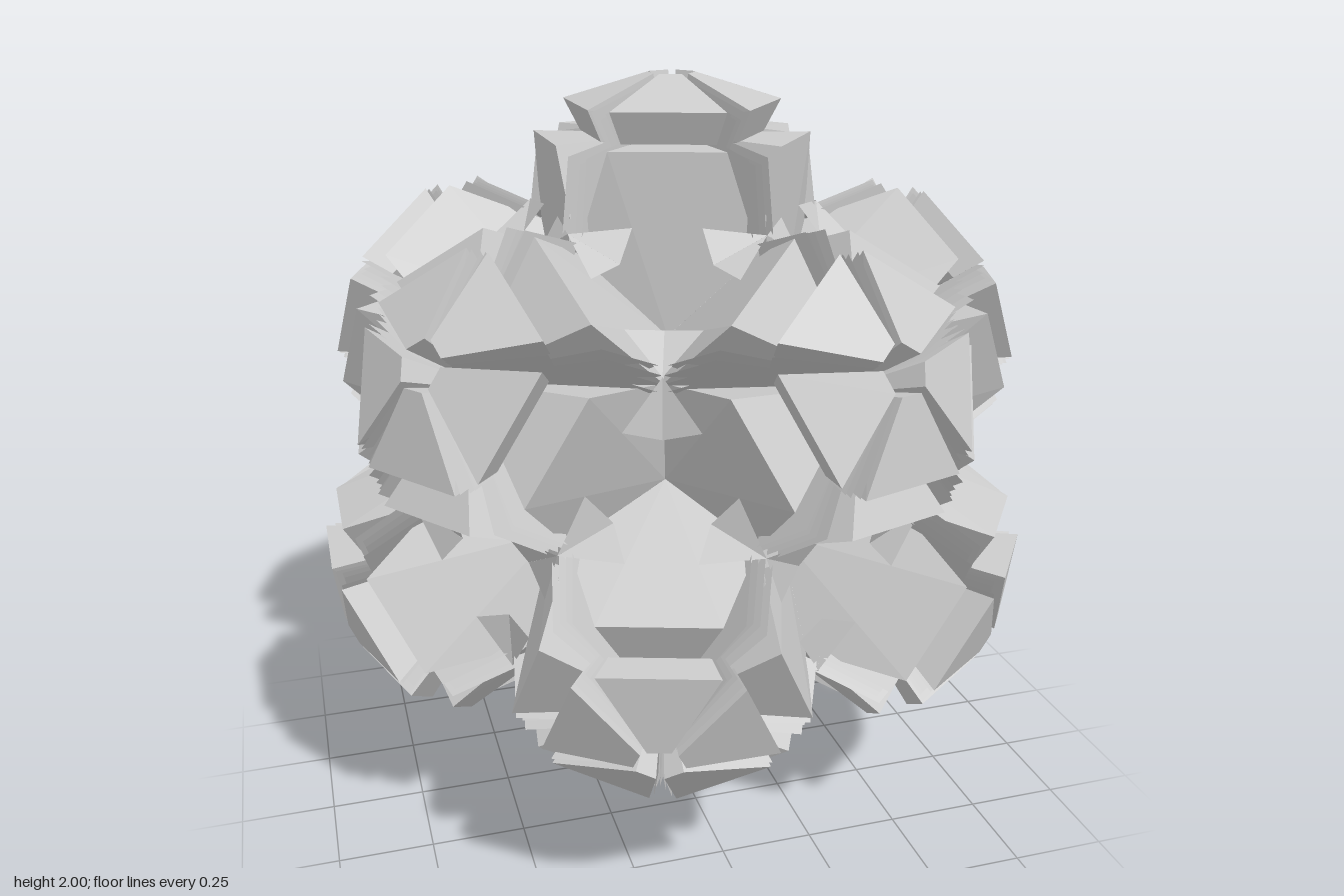
import * as THREE from 'three';
import { ConvexGeometry } from 'three/addons/geometries/ConvexGeometry.js';

const RAD = Math.PI / 180;
const v = (x, y, z) => new THREE.Vector3(x, y, z);

// Local frame of a wedge: x runs out from the star's axis, y along the axis, z sideways.

// Paper facets from corner triples, turned to face away from the ball's centre
function facets(triangles) {
  const points = [];
  for (const [a, b, c] of triangles) {
    const normal = b.clone().sub(a).cross(c.clone().sub(a));
    const middle = a.clone().add(b).add(c);
    points.push(...(normal.dot(middle) < 0 ? [a, c, b] : [a, b, c]));
  }
  const geometry = new THREE.BufferGeometry().setFromPoints(points);
  geometry.computeVertexNormals();
  return geometry;
}

// Raised petal: crest near the axis, sloping top, undercut outer edge
function petalGeometry() {
  const points = [];
  for (const s of [-1, 1]) {
    points.push(
      v(0.028, 0.88, s * 0.016),
      v(0.055, 1.0, s * 0.028),
      v(0.25, 0.93, s * 0.14),
      v(0.2125, 0.85, s * 0.116),
      v(0.03, 0.82, s * 0.01)
    );
  }
  return new ConvexGeometry(points);
}

// Point on the two-fold axis beside a wedge, and on the three-fold axis ahead of it
const edgePoint = (radius, s) =>
  v(0.5257 * radius * Math.cos(36 * RAD), 0.8507 * radius, s * 0.5257 * radius * Math.sin(36 * RAD));
const hollowPoint = (radius) => v(0.607 * radius, 0.795 * radius, 0);
const stepCorner = (s) => v(0.33, 0.85, s * 0.14);

// Lower step under the petal, falling away to the valleys and the hollow
function stepGeometry() {
  const centre = v(0, 0.85, 0);
  const deep = hollowPoint(0.5);
  const triangles = [
    [centre, stepCorner(1), stepCorner(-1)],
    [stepCorner(1), stepCorner(-1), deep]
  ];
  for (const s of [-1, 1]) {
    const valley = edgePoint(0.71, s);
    triangles.push([centre, stepCorner(s), valley], [stepCorner(s), valley, deep]);
  }
  return facets(triangles);
}

// Small folded flaps that lean into the hollow between three stars
function flapGeometry() {
  const triangles = [];
  for (const s of [-1, 1]) {
    const ridge = edgePoint(0.77, s);
    const inner = edgePoint(0.72, s).lerp(hollowPoint(0.72), 0.5);
    const foot = stepCorner(s).lerp(hollowPoint(0.5), 0.4);
    triangles.push([ridge, inner, foot]);
  }
  return facets(triangles);
}

// Thin sheet standing in the crevice between two petals
function sheetGeometry(angle, drop) {
  const outline = [
    [0.03, 0.88], [0.06, 0.985], [0.285, 0.925], [0.24, 0.85], [0.365, 0.83],
    [0.39, 0.65], [0.2, 0.6], [0.01, 0.8]
  ];
  const shape = new THREE.Shape(outline.map(([r, h]) => new THREE.Vector2(r, h - drop)));
  return new THREE.ShapeGeometry(shape).rotateY(angle * RAD);
}

// Directions of the twelve stars
function starAxes() {
  const axes = [v(0, 1, 0), v(0, -1, 0)];
  const high = 1 / Math.sqrt(5);
  for (let i = 0; i < 5; i++) {
    for (const s of [1, -1]) {
      const a = (72 * i + (s > 0 ? 0 : 36)) * RAD;
      axes.push(v(2 * high * Math.cos(a), s * high, 2 * high * Math.sin(a)));
    }
  }
  return axes;
}

export function createModel() {
  const model = new THREE.Group();
  model.name = 'foldedPaperBall';
  const solid = new THREE.MeshStandardMaterial({ color: 0xcccccc, flatShading: true });
  const thin = new THREE.MeshStandardMaterial({
    color: 0xcccccc, flatShading: true, side: THREE.DoubleSide
  });

  const parts = [
    ['petal', petalGeometry(), solid],
    ['step', stepGeometry(), thin],
    ['hollowFlaps', flapGeometry(), thin]
  ];
  for (const s of [-1, 1]) {
    parts.push(['innerSheet', sheetGeometry(s * 31.5, 0), thin]);
    parts.push(['outerSheet', sheetGeometry(s * 34.5, 0.015), thin]);
  }

  const axes = starAxes();
  for (const axis of axes) {
    const star = new THREE.Group();
    star.name = 'star';
    // One wedge beside each of the five neighbouring stars
    for (const other of axes) {
      const dot = axis.dot(other);
      if (dot < 0.4 || dot > 0.5) continue;
      const out = other.clone().addScaledVector(axis, -dot).normalize();
      out.applyAxisAngle(axis, 36 * RAD);
      const side = out.clone().cross(axis);
      const wedge = new THREE.Group();
      wedge.name = 'wedge';
      wedge.quaternion.setFromRotationMatrix(new THREE.Matrix4().makeBasis(out, axis, side));
      for (const [name, geometry, material] of parts) {
        const mesh = new THREE.Mesh(geometry, material);
        mesh.name = name;
        wedge.add(mesh);
      }
      star.add(wedge);
    }
    model.add(star);
  }
  model.position.y = 1;

  const root = new THREE.Group();
  root.name = 'paperBall';
  root.add(model);
  return root;
}
